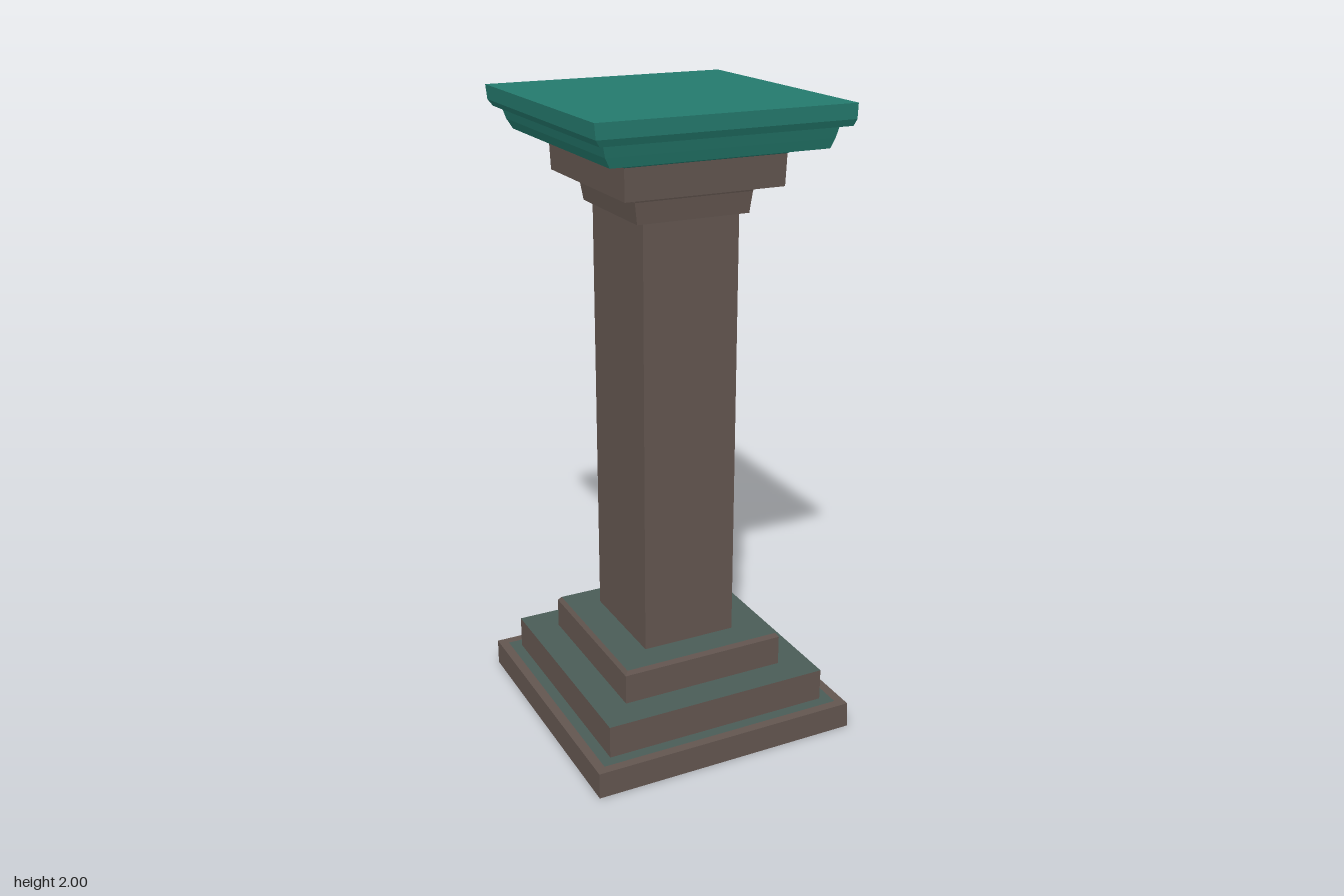
import * as THREE from 'three';

const stone = new THREE.MeshStandardMaterial({ color: 0x62554f, side: THREE.DoubleSide });
stone.name = 'brown stone';
const tread = new THREE.MeshStandardMaterial({ color: 0x4a5c57, side: THREE.DoubleSide });
tread.name = 'weathered green stone';
const green = new THREE.MeshStandardMaterial({ color: 0x247a6d, side: THREE.DoubleSide });
green.name = 'green cap';

// Rectangular outline at one height: [y, left x, right x, back z, front z]
const corners = ([y, x0, x1, z0, z1]) => [[x0, y, z1], [x1, y, z1], [x1, y, z0], [x0, y, z0]];

// Joins successive rectangular outlines, from bottom to top, with flat faces
function loft(name, material, rows) {
  const pos = [];
  for (let r = 0; r + 1 < rows.length; r++) {
    const low = corners(rows[r]), high = corners(rows[r + 1]);
    for (let i = 0; i < 4; i++) {
      const j = (i + 1) % 4;
      pos.push(...low[i], ...low[j], ...high[j], ...low[i], ...high[j], ...high[i]);
    }
  }
  const geometry = new THREE.BufferGeometry();
  geometry.setAttribute('position', new THREE.Float32BufferAttribute(pos, 3));
  geometry.computeVertexNormals();
  const mesh = new THREE.Mesh(geometry, material);
  mesh.name = name;
  return mesh;
}

export function createModel() {
  const model = new THREE.Group();
  model.name = 'pedestal';

  // Stepped base, a hollow shell open underneath
  const base = new THREE.Group();
  base.name = 'steppedBase';
  const shaftFoot = [0.3, -0.16, 0.15, -0.18, 0.175];
  base.add(
    loft('bottomStep', stone, [
      [0, -0.44, 0.44, -0.44, 0.44],
      [0.085, -0.44, 0.435, -0.44, 0.44],
      [0.085, -0.41, 0.405, -0.41, 0.41],
    ]),
    loft('bottomTread', tread, [
      [0.085, -0.41, 0.405, -0.41, 0.41],
      [0.085, -0.375, 0.37, -0.375, 0.375],
    ]),
    loft('middleStep', stone, [
      [0.085, -0.375, 0.37, -0.375, 0.375],
      [0.19, -0.375, 0.37, -0.375, 0.375],
    ]),
    loft('middleTread', tread, [
      [0.19, -0.375, 0.37, -0.375, 0.375],
      [0.19, -0.275, 0.27, -0.275, 0.275],
    ]),
    loft('topStep', stone, [
      [0.19, -0.275, 0.27, -0.275, 0.275],
      [0.287, -0.275, 0.27, -0.275, 0.275],
      [0.3, -0.265, 0.26, -0.265, 0.267],
    ]),
    loft('topTread', tread, [[0.3, -0.265, 0.26, -0.265, 0.267], shaftFoot]),
  );

  // Square shaft
  const shaft = loft('shaft', stone, [shaftFoot, [1.67, -0.16, 0.15, -0.18, 0.175]]);

  // Two-tier capital under the cap
  const capital = loft('capital', stone, [
    [1.67, -0.16, 0.15, -0.18, 0.175],
    [1.67, -0.185, 0.175, -0.19, 0.19],
    [1.735, -0.195, 0.182, -0.197, 0.197],
    [1.755, -0.195, 0.185, -0.205, 0.205],
    [1.755, -0.257, 0.248, -0.267, 0.265],
    [1.85, -0.26, 0.25, -0.272, 0.27],
  ]);

  // Moulded cap with a flat lid
  const cap = loft('cap', green, [
    [1.85, -0.26, 0.25, -0.272, 0.27],
    [1.865, -0.28, 0.27, -0.29, 0.29],
    [1.87, -0.34, 0.337, -0.36, 0.355],
    [1.9, -0.357, 0.347, -0.37, 0.365],
    [1.932, -0.367, 0.352, -0.376, 0.375],
    [1.935, -0.385, 0.385, -0.405, 0.395],
    [1.955, -0.4, 0.39, -0.41, 0.405],
    [2, -0.405, 0.39, -0.41, 0.408],
    [2, -0.005, -0.005, 0, 0],
  ]);

  model.add(base, shaft, capital, cap);
  return model;
}
